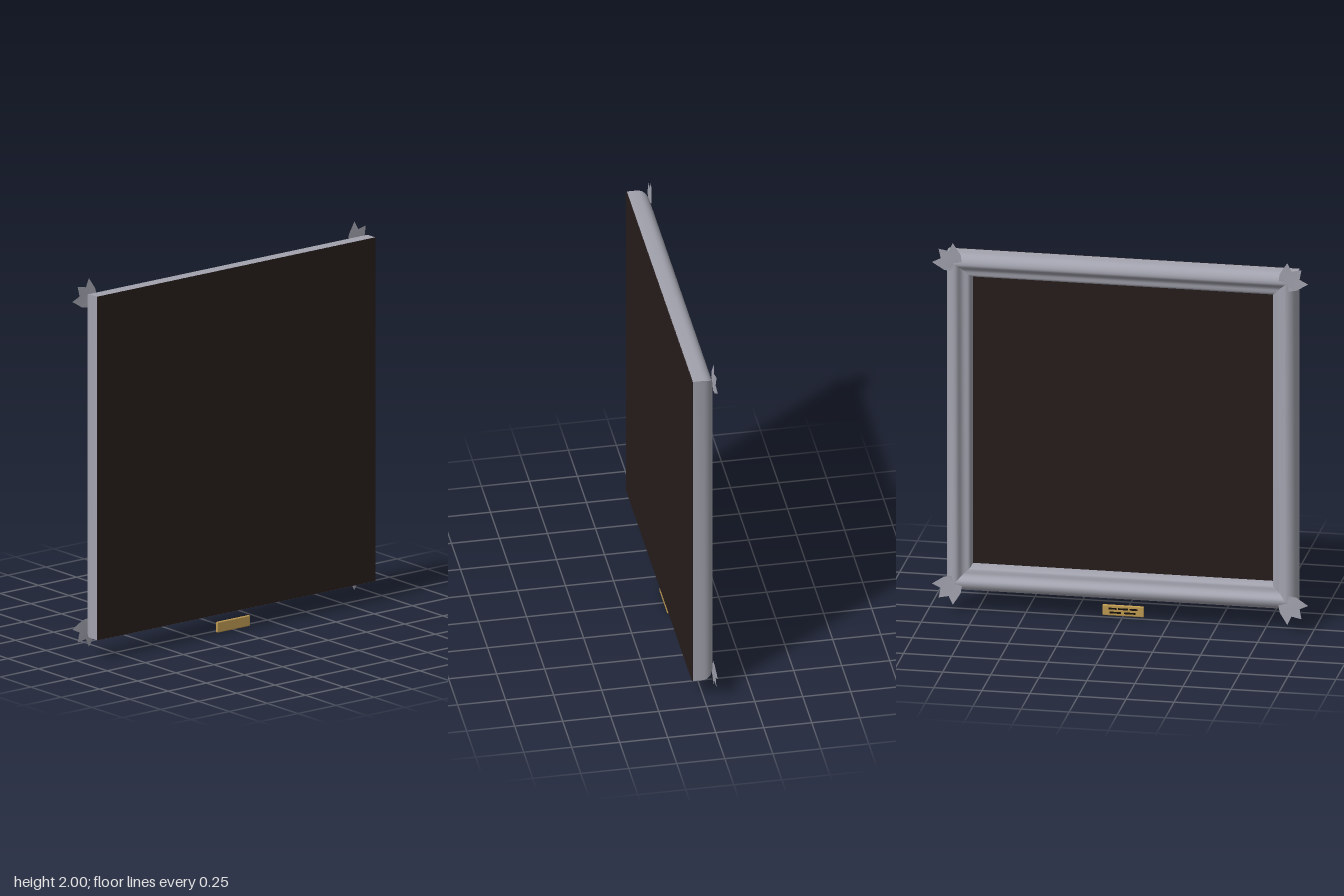
import * as THREE from 'three';
import { toCreasedNormals } from 'three/addons/utils/BufferGeometryUtils.js';
import { RoundedBoxGeometry } from 'three/addons/geometries/RoundedBoxGeometry.js';

const HALF = 0.912, MID_Y = 1.02;

// Moulding profile: [inset from outer edge, z], from the wall side over the crest and cove to the panel
const PROFILE = [
  [0, 0.056], [0, -0.003], [0.004, -0.02], [0.012, -0.035], [0.024, -0.046], [0.038, -0.053],
  [0.052, -0.055], [0.062, -0.052], [0.07, -0.044], [0.077, -0.034], [0.086, -0.026],
  [0.098, -0.022], [0.112, -0.022], [0.12, -0.019], [0.125, -0.012], [0.126, 0.056],
];

// One mitred rail (the lower one; the others are quarter turns of it)
function railGeometry() {
  const pos = [], index = [];
  PROFILE.forEach(([inset, z], i) => {
    const r = HALF - inset;
    pos.push(-r, -r, z, r, -r, z);
    if (i > 0) {
      const a = 2 * i - 2;
      index.push(a, a + 2, a + 1, a + 1, a + 2, a + 3);
    }
  });
  const g = new THREE.BufferGeometry();
  g.setAttribute('position', new THREE.Float32BufferAttribute(pos, 3));
  g.setIndex(index);
  return toCreasedNormals(g, 0.7);
}

// Pointed leaf for the +x, +y corner; origin is the outer corner of the frame
function leafGeometry() {
  const half = [[0.032, 0.032], [-0.02, 0.022], [-0.042, 0.067], [-0.082, 0.004], [-0.088, -0.035]];
  const other = half.slice(1).reverse().map(([x, y]) => [y, x]);
  const pts = [...half, [-0.045, -0.045], ...other].map(([x, y]) => new THREE.Vector2(x, y));
  const g = new THREE.ShapeGeometry(new THREE.Shape(pts));
  const p = g.attributes.position;
  for (let i = 0; i < p.count; i++) {
    // tips bend away from the moulding
    p.setZ(i, -0.053 - 0.08 * Math.hypot(p.getX(i) + 0.045, p.getY(i) + 0.045));
  }
  g.computeVertexNormals();
  return g;
}

export function createModel() {
  const silver = new THREE.MeshStandardMaterial({ color: 0xa3a3af, side: THREE.DoubleSide });
  silver.name = 'silver frame';
  const dark = new THREE.MeshStandardMaterial({ color: 0x271d1c });
  dark.name = 'dark brown canvas';
  const gold = new THREE.MeshStandardMaterial({ color: 0xc09c52 });
  gold.name = 'gold plate';
  const black = new THREE.MeshStandardMaterial({ color: 0x15110c });
  black.name = 'black engraving';

  const model = new THREE.Group();
  model.name = 'pictureFrame';
  const add = (name, geometry, material, x, y, z, parent = model) => {
    const mesh = new THREE.Mesh(geometry, material);
    mesh.name = name;
    mesh.position.set(x, y, z);
    parent.add(mesh);
    return mesh;
  };

  // Moulded frame
  const frame = new THREE.Group();
  frame.name = 'frame';
  model.add(frame);
  const rail = railGeometry();
  ['bottomRail', 'leftRail', 'topRail', 'rightRail'].forEach((name, k) => {
    add(name, rail, silver, 0, MID_Y, 0, frame).rotation.z = k * Math.PI / 2;
  });

  // Dark panel closing the frame, seen from both sides
  add('canvasPanel', new THREE.BoxGeometry(2 * HALF, 2 * HALF, 0.005), dark, 0, MID_Y, 0.0575);

  // Corner leaves
  const leaf = leafGeometry();
  for (const sx of [-1, 1]) for (const sy of [-1, 1]) {
    const m = add('cornerLeaf', leaf, silver, sx * HALF, MID_Y + sy * HALF, 0);
    m.scale.set(sx, sy, 1);
  }

  // Name plate with two engraved lines of dashes
  const plate = new THREE.Group();
  plate.name = 'namePlate';
  plate.position.set(0, 0.032, 0.031);
  model.add(plate);
  add('plateBody', new RoundedBoxGeometry(0.216, 0.058, 0.014, 3, 0.006), gold, 0, 0, 0, plate);
  const rows = [[0.01, [[-0.055, 0.04], [0, 0.05], [0.055, 0.04]]], [-0.011, [[-0.035, 0.06], [0.04, 0.06]]]];
  for (const [y, dashes] of rows) for (const [x, w] of dashes) {
    add('engravedDash', new THREE.BoxGeometry(w, 0.009, 0.003), black, x, y, -0.0075, plate);
  }
  return model;
}
